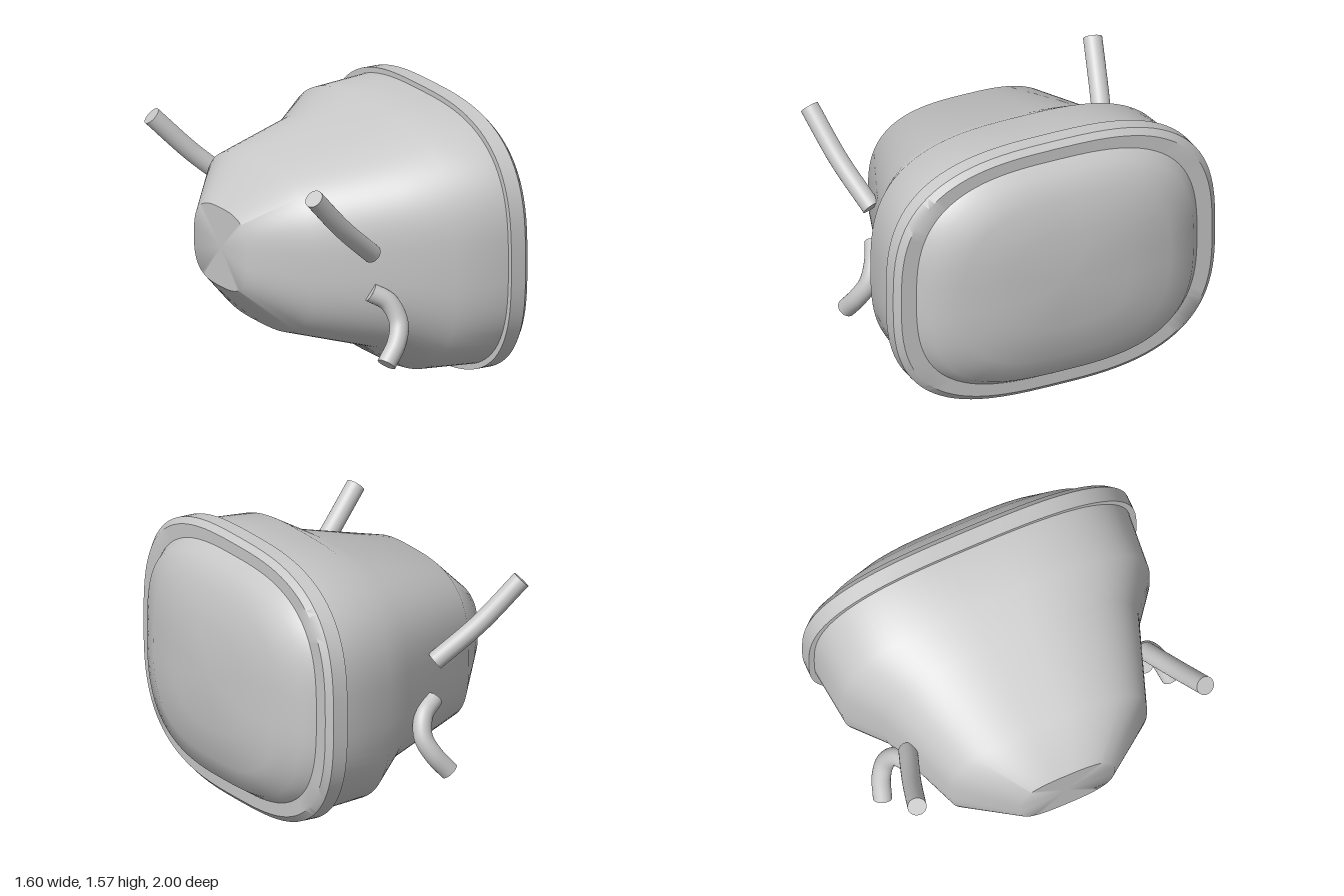
import * as THREE from 'three';
import { toCreasedNormals } from 'three/addons/utils/BufferGeometryUtils.js';

// Lofts rounded-rectangle rings [x, halfHeight, halfDepth, centreY] along x.
function loft(rings, power = 2.9, crease = 0.72, sides = 96) {
  const pos = [], idx = [];
  const soft = v => Math.sign(v) * Math.pow(Math.abs(v), 2 / power);
  for (const [x, hy, hz, cy] of rings) {
    for (let j = 0; j < sides; j++) {
      const t = (j / sides) * Math.PI * 2;
      pos.push(x, cy + hy * soft(Math.sin(t)), hz * soft(Math.cos(t)));
    }
  }
  for (let i = 0; i < rings.length - 1; i++) {
    for (let j = 0; j < sides; j++) {
      const k = (j + 1) % sides;
      const a = i * sides + j, b = a + sides, c = i * sides + k, d = c + sides;
      if (rings[i + 1][1] > 0) idx.push(b, d, c);
      if (rings[i][1] > 0) idx.push(a, b, c);
      else if (rings[i + 1][1] === 0) continue;
      if (rings[i + 1][1] === 0) continue;
    }
  }
  const g = new THREE.BufferGeometry();
  g.setAttribute('position', new THREE.Float32BufferAttribute(pos, 3));
  g.setIndex(idx);
  return toCreasedNormals(g, crease);
}

// Round rod with flat ends along a smooth path.
function rod(points, radius, material, name) {
  const group = new THREE.Group();
  group.name = name;
  const curve = new THREE.CatmullRomCurve3(points.map(p => new THREE.Vector3(...p)));
  group.add(new THREE.Mesh(new THREE.TubeGeometry(curve, 28, radius, 24), material));
  for (const [t, dir] of [[0, -1], [1, 1]]) {
    const cap = new THREE.Mesh(new THREE.CircleGeometry(radius, 24), material);
    cap.position.copy(curve.getPointAt(t));
    const out = curve.getTangentAt(t).multiplyScalar(dir);
    cap.quaternion.setFromUnitVectors(new THREE.Vector3(0, 0, 1), out);
    group.add(cap);
  }
  group.children.forEach((m, i) => { m.name = name + (i ? 'End' : 'Shaft'); });
  return group;
}

export function createModel() {
  const model = new THREE.Group();
  model.name = 'roundedHousing';
  const grey = new THREE.MeshStandardMaterial({ color: 0xc8c8c8 });
  grey.name = 'plain grey';
  const mid = 0.785;

  const add = (name, rings, power) => {
    const mesh = new THREE.Mesh(loft(rings, power), grey);
    mesh.name = name;
    model.add(mesh);
  };

  // Tapered shell with a flat small end
  add('shell', [
    [-0.8, 0, 0, 0.83], [-0.8, 0.23, 0.29, 0.83], [-0.55, 0.47, 0.6, 0.82],
    [-0.04, 0.603, 0.78, 0.8], [0.17, 0.735, 0.938, mid], [0.5, 0.756, 0.968, mid],
  ]);

  // Chamfered rim with a flat face
  add('rim', [
    [0.49, 0.74, 0.95, mid], [0.49, 0.785, 1, mid], [0.582, 0.785, 1, mid],
    [0.615, 0.752, 0.965, mid], [0.615, 0.67, 0.86, mid],
  ]);

  // Domed panel inside the rim
  add('dome', [
    [0.61, 0.685, 0.875, mid], [0.685, 0.637, 0.815, mid], [0.752, 0.5, 0.64, mid],
    [0.79, 0.3, 0.37, mid], [0.8, 0, 0, mid],
  ]);

  // Straight arm and hooked arm on each side
  for (const [s, side] of [[1, 'front'], [-1, 'back']]) {
    model.add(rod([
      [-0.722, 1.343, 0.88 * s], [-0.49, 1.105, 0.81 * s], [-0.25, 0.9, 0.725 * s],
    ], 0.054, grey, side + 'UpperArm'));
    model.add(rod([
      [-0.25, 0.67, 0.71 * s], [-0.16, 0.61, 0.755 * s],
      [-0.125, 0.5, 0.805 * s], [-0.165, 0.4, 0.85 * s], [-0.25, 0.295, 0.88 * s],
    ], 0.054, grey, side + 'HookArm'));
  }
  return model;
}
